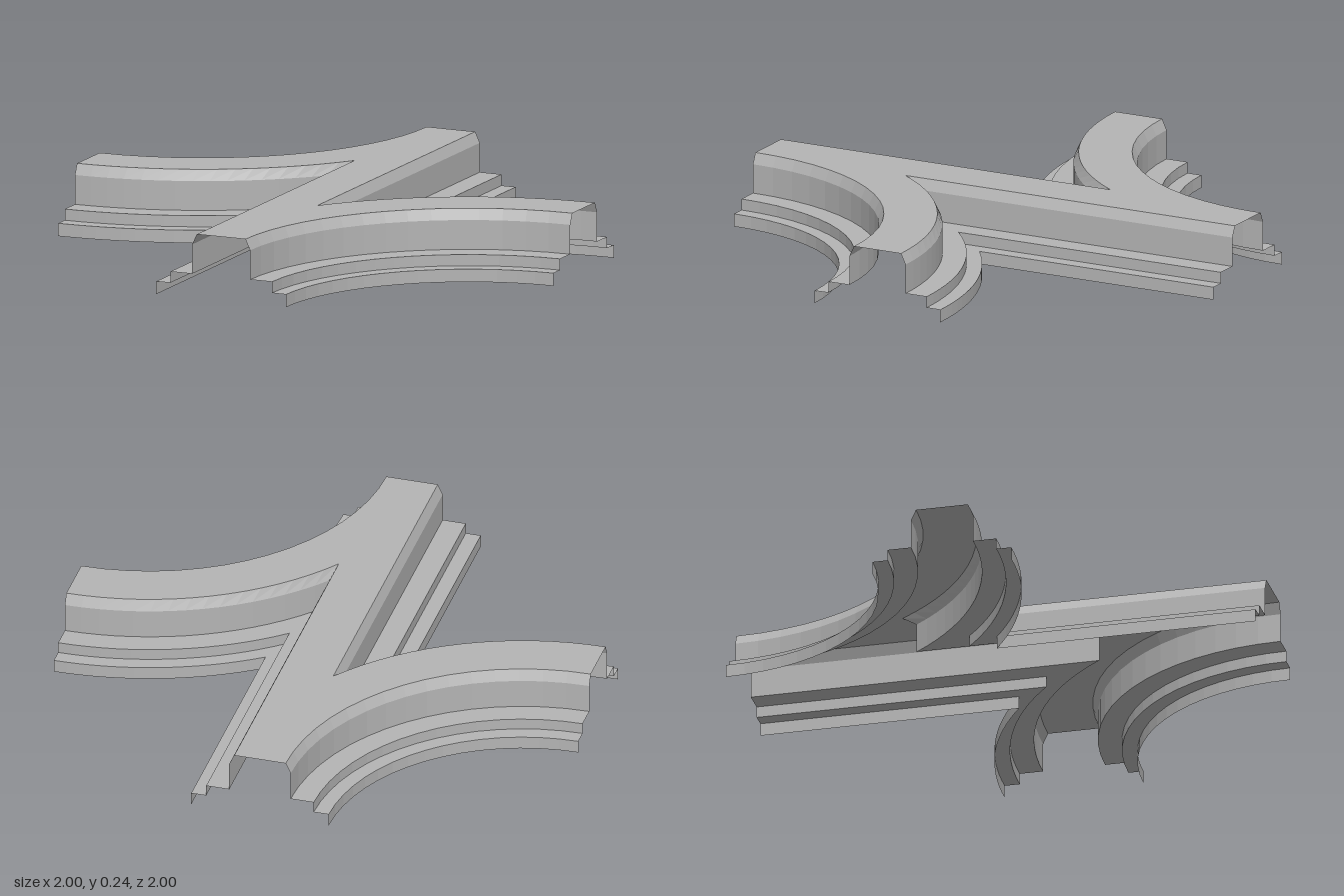
import * as THREE from 'three';

// Half cross-section of the hollow track bed: [offset from centre line, height]
const PROFILE = [[0.098, 0.24], [0.117, 0.2], [0.117, 0.09], [0.205, 0.09],
  [0.205, 0.048], [0.262, 0.048], [0.262, 0]];
const SEGMENTS = 16;

const arc = (r, from, to) => Array.from({ length: SEGMENTS + 1 }, (_, i) => {
  const a = from + (to - from) * i / SEGMENTS;
  return [-1 + r * Math.sin(a), -1 + r * Math.cos(a)];
});

// Plan paths [x, z] of each flank at offset d; the outer curve and the
// straight flank end where they meet in a mitre
const straight = d => [[-d, 1], [-d, -1 + 2 * Math.sqrt(d)]];
const outerCurve = d => arc(1 + d, Math.asin((1 - d) / (1 + d)), 0);
const innerCurve = d => arc(1 - d, 0, Math.PI / 2);

// Stepped flank swept along a path
function flank(path) {
  const pos = [];
  for (let k = 0; k < PROFILE.length - 1; k++) {
    const [d0, y0] = PROFILE[k], [d1, y1] = PROFILE[k + 1];
    const a = path(d0), b = path(d1);
    for (let i = 0; i < a.length - 1; i++) {
      const p0 = [a[i][0], y0, a[i][1]], p1 = [a[i + 1][0], y0, a[i + 1][1]];
      const q0 = [b[i][0], y1, b[i][1]], q1 = [b[i + 1][0], y1, b[i + 1][1]];
      pos.push(...p0, ...p1, ...q1, ...p0, ...q1, ...q0);
    }
  }
  const g = new THREE.BufferGeometry();
  g.setAttribute('position', new THREE.Float32BufferAttribute(pos, 3));
  g.computeVertexNormals();
  return g;
}

// Flat deck over the straight and both curves
function deck() {
  const [d, y] = PROFILE[0];
  const half = [...straight(d), ...outerCurve(d).slice(1), ...innerCurve(d)];
  const outline = [...half, ...half.map(([x, z]) => [-x, -z])];
  const shape = new THREE.Shape(outline.map(([x, z]) => new THREE.Vector2(x, -z)));
  return new THREE.ShapeGeometry(shape).rotateX(-Math.PI / 2).translate(0, y, 0);
}

export function createModel() {
  const grey = new THREE.MeshStandardMaterial({ color: 0xb4b4b4, flatShading: true, side: THREE.DoubleSide });
  grey.name = 'grey';
  const model = new THREE.Group();
  model.name = 'trackCrossing';

  const add = (name, geometry, parent) => {
    const mesh = new THREE.Mesh(geometry, grey);
    mesh.name = name;
    parent.add(mesh);
  };
  add('deck', deck(), model);

  // The two branches are the same, turned half round
  const flanks = { straightFlank: flank(straight), outerCurveFlank: flank(outerCurve), innerCurveFlank: flank(innerCurve) };
  ['rightBranch', 'leftBranch'].forEach((name, i) => {
    const side = new THREE.Group();
    side.name = name;
    side.rotation.y = i * Math.PI;
    for (const part in flanks) add(part, flanks[part], side);
    model.add(side);
  });
  return model;
}
